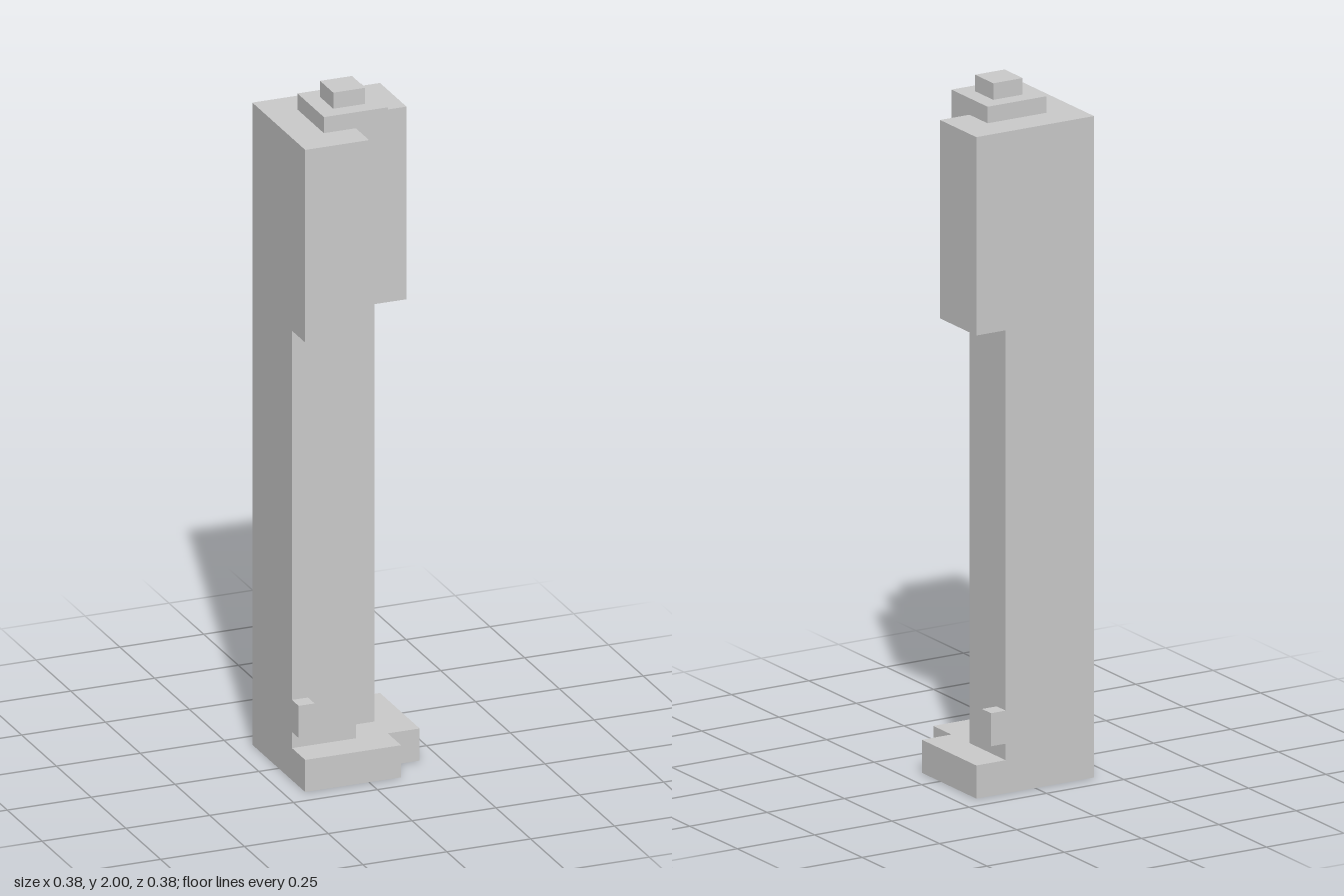
import * as THREE from 'three';

// Everything sits on a block grid: 42 units tall, 8 units wide
const U = 2 / 42;
const material = new THREE.MeshStandardMaterial({ color: 0xcccccc, flatShading: true });

// Box from its min and max grid corners
function block(name, [x0, y0, z0], [x1, y1, z1]) {
  const geometry = new THREE.BoxGeometry((x1 - x0) * U, (y1 - y0) * U, (z1 - z0) * U);
  geometry.translate((x0 + x1) * U / 2, (y0 + y1) * U / 2, (z0 + z1) * U / 2);
  const mesh = new THREE.Mesh(geometry, material);
  mesh.name = name;
  return mesh;
}

// Square footprint from -4 to `outer` with its front left corner cut back to `inner`
function notchedPrism(name, outer, inner, y0, y1) {
  const plan = [[-4, -4], [outer, -4], [outer, inner], [inner, inner], [inner, outer], [-4, outer]];
  const shape = new THREE.Shape(plan.map(([x, z]) => new THREE.Vector2(x * U, -z * U)));
  const geometry = new THREE.ExtrudeGeometry(shape, { depth: (y1 - y0) * U, bevelEnabled: false });
  geometry.rotateX(-Math.PI / 2);
  geometry.translate(0, y0 * U, 0);
  const mesh = new THREE.Mesh(geometry, material);
  mesh.name = name;
  return mesh;
}

export function createModel() {
  const group = new THREE.Group();
  group.name = 'tower';
  group.add(
    notchedPrism('base', 4, 2, 0, 2),
    notchedPrism('shaft', 2, 0, 2, 28),
    notchedPrism('head', 4, 0, 28, 40),
    // Column filling the inner corner of the head
    block('cornerColumn', [0, 29, 0], [2, 40, 2]),
    // Stepped roof
    block('roofStep', [-2, 40, -2], [2, 41, 2]),
    block('roofTop', [-1, 41, -1], [1, 42, 1]),
    // Small blocks on the two outer ends of the shaft
    block('frontKnob', [-4, 3, 2], [-3, 5, 3]),
    block('sideKnob', [2, 3, -4], [3, 5, -3]),
  );
  return group;
}
